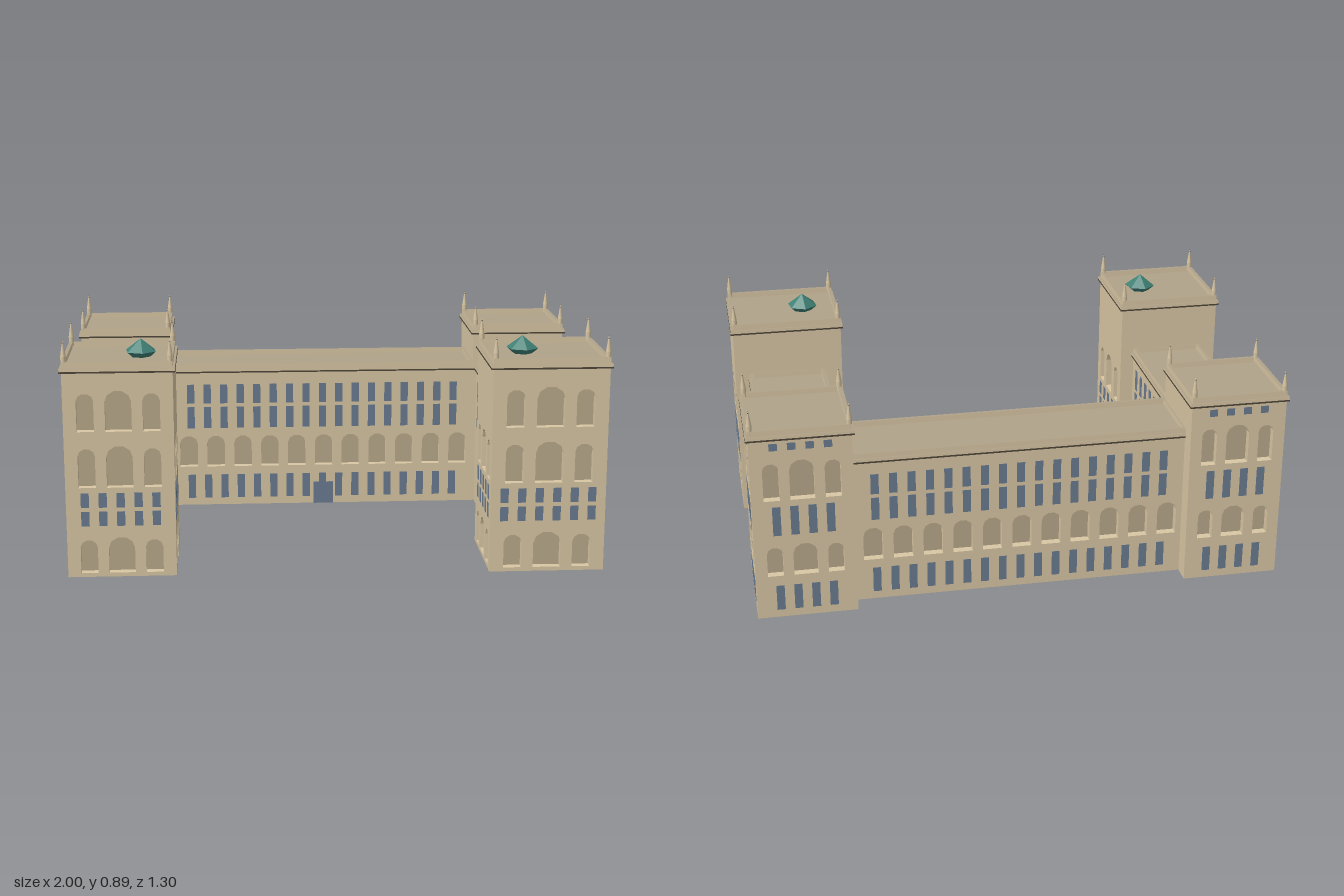
import * as THREE from 'three';
import { mergeGeometries } from 'three/addons/utils/BufferGeometryUtils.js';

const paint = (name, color, options = {}) => {
  const m = new THREE.MeshStandardMaterial({ color, ...options });
  m.name = name;
  return m;
};
const D = 0.03; // niche depth
const P = 0.013; // parapet thickness

export function createModel() {
  const stone = paint('sandstone', 0xd9c7a4);
  const shade = paint('niche stone', 0xb9a98b, { side: THREE.DoubleSide });
  const roofing = paint('roof', 0xb0a28a);
  const glass = paint('window blue', 0x6a7b91);
  const trim = paint('dark trim', 0x4e4538);
  const copper = paint('green copper', 0x3f8075, { flatShading: true });

  const model = new THREE.Group();
  model.name = 'building';

  const add = (parent, name, geometry, material, x = 0, y = 0, z = 0) => {
    const mesh = new THREE.Mesh(geometry, material);
    mesh.name = name;
    mesh.position.set(x, y, z);
    parent.add(mesh);
    return mesh;
  };
  const row = (n, step, offset = 0) =>
    Array.from({ length: n }, (_, i) => offset + (i - (n - 1) / 2) * step);
  const rect = (Kind, a, b) =>
    new Kind().moveTo(-a, -b).lineTo(a, -b).lineTo(a, b).lineTo(-a, b).lineTo(-a, -b);

  // Opening with a five-sided arched head, standing on y
  const archHole = ({ x, y, w, h }) => {
    const p = new THREE.Path().moveTo(x - w / 2, y).lineTo(x + w / 2, y);
    const rise = w * 0.42;
    for (let i = 0; i <= 5; i++) {
      const a = (i * Math.PI) / 5;
      p.lineTo(x + (Math.cos(a) * w) / 2, y + h - rise + (Math.sin(a) / Math.sin(0.4 * Math.PI)) * rise);
    }
    return p.lineTo(x - w / 2, y);
  };

  // Wall slab facing +z with arched niches cut out and thin window plates
  const wall = (parent, name, len, y0, y1, { arches = [], windows = [] }) => {
    const g = new THREE.Group();
    g.name = name;
    const shape = new THREE.Shape().moveTo(-len / 2, y0).lineTo(len / 2, y0)
      .lineTo(len / 2, y1).lineTo(-len / 2, y1).lineTo(-len / 2, y0);
    shape.holes = arches.map(archHole);
    const slab = new THREE.ExtrudeGeometry(shape, { depth: D, bevelEnabled: false });
    add(g, 'wallSlab', slab.translate(0, 0, -D), stone);
    if (windows.length) {
      add(g, 'windows', mergeGeometries(windows.map(({ x, y, w, h }) =>
        new THREE.BoxGeometry(w, h, 0.004).translate(x, y + h / 2, -0.0008))), glass);
    }
    parent.add(g);
    return g;
  };

  // Rectangular ring: outer edge set out from the block, inner edge set in
  const ring = (parent, name, w, d, y, h, out, inset, material) => {
    const s = rect(THREE.Shape, w / 2 + out, d / 2 + out);
    s.holes.push(rect(THREE.Path, w / 2 - inset, d / 2 - inset));
    const geo = new THREE.ExtrudeGeometry(s, { depth: h, bevelEnabled: false }).rotateX(-Math.PI / 2);
    add(parent, name, geo, material, 0, y, 0);
  };

  // Box without its bottom face
  const openBox = (w, d, y0, y1) => {
    const geo = new THREE.BoxGeometry(w, y1 - y0, d).translate(0, (y0 + y1) / 2, 0);
    const index = Array.from(geo.index.array);
    index.splice(18, 6);
    geo.setIndex(index);
    geo.clearGroups();
    return geo;
  };

  // Hollow block: four walls, lining behind the niches, sunken roof, parapet, cornice
  const block = (name, [x0, x1], [z0, z1], H, cornice, faces, foot = 0) => {
    const w = x1 - x0, d = z1 - z0, top = H - 0.022;
    const g = new THREE.Group();
    g.name = name;
    g.position.set((x0 + x1) / 2, 0, (z0 + z1) / 2);
    ['frontWall', 'leftWall', 'backWall', 'rightWall'].forEach((label, i) => {
      const dist = (i % 2 ? w : d) / 2;
      const f = wall(g, label, i % 2 ? d - 2 * D : w, foot, top, faces[i] || {});
      f.rotation.y = (i * Math.PI) / 2;
      f.position.set(Math.sin(f.rotation.y) * dist, 0, Math.cos(f.rotation.y) * dist);
    });
    add(g, 'lining', openBox(w - 2 * D, d - 2 * D, foot, top - 0.004), shade);
    // Thin-walled ground storey
    if (foot) {
      add(g, 'groundStorey', openBox(w, d, 0, foot), stone);
      add(g, 'groundLining', openBox(w - 0.004, d - 0.004, 0, foot - 0.002), shade);
    }
    add(g, 'roof', new THREE.BoxGeometry(w - 2 * P, 0.004, d - 2 * P), roofing, 0, top, 0);
    ring(g, 'parapet', w, d, top - 0.002, H - top + 0.002, 0, P, [roofing, stone]);
    ring(g, 'cornice', w, d, cornice, 0.011, 0.008, 0.005, [roofing, stone]);
    ring(g, 'corniceShadowLine', w, d, cornice - 0.006, 0.006, 0.009, 0.005, trim);
    model.add(g);
    return g;
  };

  // Pointed finials on the four tower corners
  const pinnacles = (g, w, d, H) => {
    for (const sx of [-1, 1]) for (const sz of [-1, 1]) {
      const p = new THREE.Group();
      p.name = 'pinnacle';
      p.position.set(sx * (w / 2 - 0.009), H, sz * (d / 2 - 0.009));
      add(p, 'shaft', new THREE.CylinderGeometry(0.010, 0.010, 0.034, 8), stone, 0, 0.003, 0);
      add(p, 'spire', new THREE.CylinderGeometry(0.0015, 0.010, 0.056, 8), stone, 0, 0.048, 0);
      add(p, 'tip', new THREE.ConeGeometry(0.003, 0.01, 8), trim, 0, 0.073, 0);
      g.add(p);
    }
  };

  // Narrow, wide, narrow arches at one storey
  const triple = (len, y, h) => [-0.3, 0, 0.3].map((f) => ({
    x: f * len, y, w: len * (f ? 0.157 : 0.24), h: f ? h : h + 0.01,
  }));
  const panes = (xs, y0, y1, w = 0.03) => xs.map((x) => ({ x, y: y0, w, h: y1 - y0 }));

  // Front towers
  const frontFace = (len, columns, topRow) => ({
    arches: [...triple(len, 0.015, 0.125), ...triple(len, 0.34, 0.145), ...(topRow ? triple(len, 0.55, 0.14) : [])],
    windows: [...panes(row(columns, 0.065), 0.195, 0.25), ...panes(row(columns, 0.065), 0.265, 0.32)],
  });
  const frontTower = (name, xs, zs, columns, [dx, dz]) => {
    const w = xs[1] - xs[0], d = zs[1] - zs[0], H = 0.808;
    const side = frontFace(d, 5, false);
    const g = block(name, xs, zs, H, 0.774, [frontFace(w, columns, true), side, null, side]);
    pinnacles(g, w, d, H);
    // Six-sided lantern with a pointed roof
    const profile = [[0.035, 0], [0.06, 0.022], [0.0001, 0.068]].map(([r, y]) => new THREE.Vector2(r, y));
    const lantern = add(g, 'lanternRoof', new THREE.LatheGeometry(profile, 6), copper,
      dx - g.position.x, H - 0.022, dz - g.position.z);
    lantern.rotation.y = 0.15;
  };
  frontTower('frontRightTower', [-0.99, -0.592], [0.24, 0.615], 5, [-0.713, 0.425]);
  frontTower('frontLeftTower', [0.563, 0.99], [0.262, 0.642], 6, [0.698, 0.448]);

  // Back towers
  const backFace = (len) => ({
    arches: [...triple(len, 0.17, 0.115), ...triple(len, 0.475, 0.145)],
    windows: [[0.03, 0.13], [0.335, 0.45], [0.672, 0.7]].flatMap(([a, b]) => panes(row(4, 0.065), a, b)),
  });
  const backTower = (name, xs, zs, outer) => {
    const w = xs[1] - xs[0], d = zs[1] - zs[0], H = 0.752;
    const faces = [null, null, backFace(w), null];
    faces[outer] = backFace(d);
    pinnacles(block(name, xs, zs, H, 0.72, faces, 0.165), w, d, H);
  };
  backTower('backRightTower', [-0.99, -0.628], [-0.642, -0.292], 3);
  backTower('backLeftTower', [0.62, 0.99], [-0.64, -0.28], 1);

  // Long central range
  const longFace = {
    arches: row(11, 0.112, 0.005).map((x) => ({ x, y: 0.165, w: 0.073, h: 0.13 })),
    windows: [[0.03, 0.13], [0.33, 0.42], [0.435, 0.515]].flatMap(([a, b]) => panes(row(17, 0.068), a, b)),
  };
  const centre = block('centralRange', [-0.635, 0.625], [-0.57, -0.278], 0.6, 0.571, [longFace, null, longFace, null]);
  add(centre, 'door', new THREE.BoxGeometry(0.083, 0.092, 0.008), glass, 0.003, 0.046, 0.146);

  // Side wings
  const wingWindows = [[0.33, 0.42], [0.435, 0.52]].flatMap(([a, b]) => panes(row(7, 0.0685), a, b));
  const outerWing = {
    arches: row(5, 0.104).map((x) => ({ x, y: 0.015, w: 0.076, h: 0.12 })),
    windows: wingWindows,
  };
  const innerWing = { windows: wingWindows };
  block('rightWing', [-0.925, -0.645], [-0.3, 0.25], 0.598, 0.57, [null, innerWing, null, outerWing]);
  block('leftWing', [0.635, 0.93], [-0.29, 0.27], 0.598, 0.57, [null, outerWing, null, innerWing]);

  return model;
}
